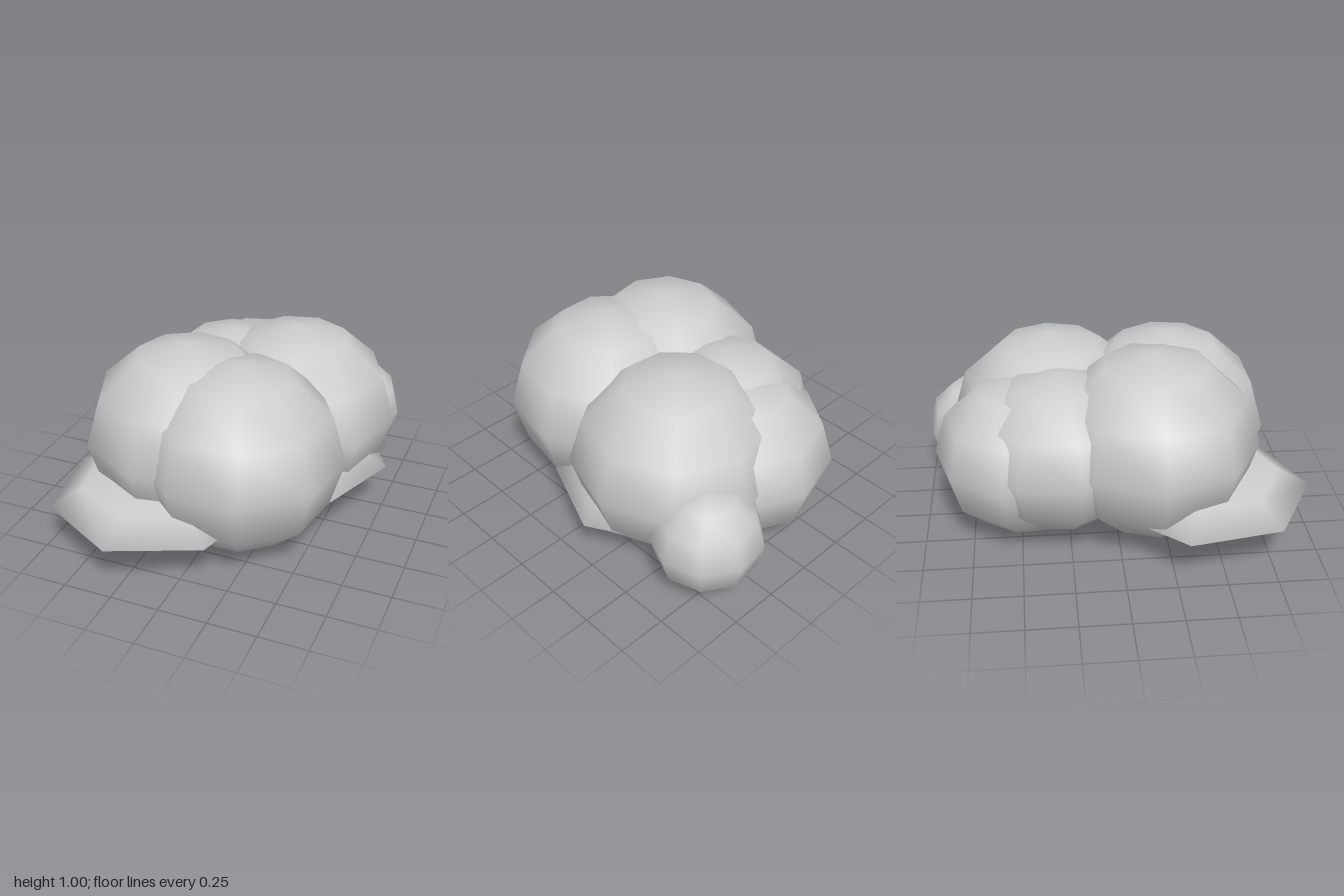
import * as THREE from 'three';

// Large round lobes: name, centre, horizontal radius, vertical radius, angle of a corner (degrees)
const LOBES = [
  ['frontLeftLobe', [0.13, 0.5, 0.28], 0.53, 0.49, -10],
  ['frontRightLobe', [-0.18, 0.52, 0.19], 0.54, 0.49, 179],
  ['backLeftLobe', [0.22, 0.488, -0.31], 0.535, 0.475, -4],
  ['backRightLobe', [-0.07, 0.425, -0.47], 0.465, 0.42, 74],
  ['middleRightLobe', [-0.14, 0.48, -0.29], 0.47, 0.42, 168],
  ['rearSmallLobe', [0.42, 0.335, -0.72], 0.28, 0.275, 2],
];

// Flattened lobes spreading out under the clump
const FLAT_LOBES = [
  ['frontFlatLobe', [-0.25, 0.265, 0.45], 0.545, 0.128, -10],
  ['sideFlatLobe', [0.235, 0.268, -0.185], 0.53, 0.128, -4],
];

export function createModel() {
  const group = new THREE.Group();
  group.name = 'bush';
  const material = new THREE.MeshStandardMaterial({ color: 0xcccccc });
  const round = new THREE.SphereGeometry(1, 9, 6);
  const flat = new THREE.SphereGeometry(1, 7, 4);

  const addLobe = (geometry, [name, centre, radius, height, angle]) => {
    const mesh = new THREE.Mesh(geometry, material);
    mesh.name = name;
    mesh.position.set(...centre);
    mesh.scale.set(radius, height, radius);
    mesh.rotation.y = THREE.MathUtils.degToRad(180 - angle);
    group.add(mesh);
  };

  LOBES.forEach((lobe) => addLobe(round, lobe));
  FLAT_LOBES.forEach((lobe) => addLobe(flat, lobe));
  return group;
}
